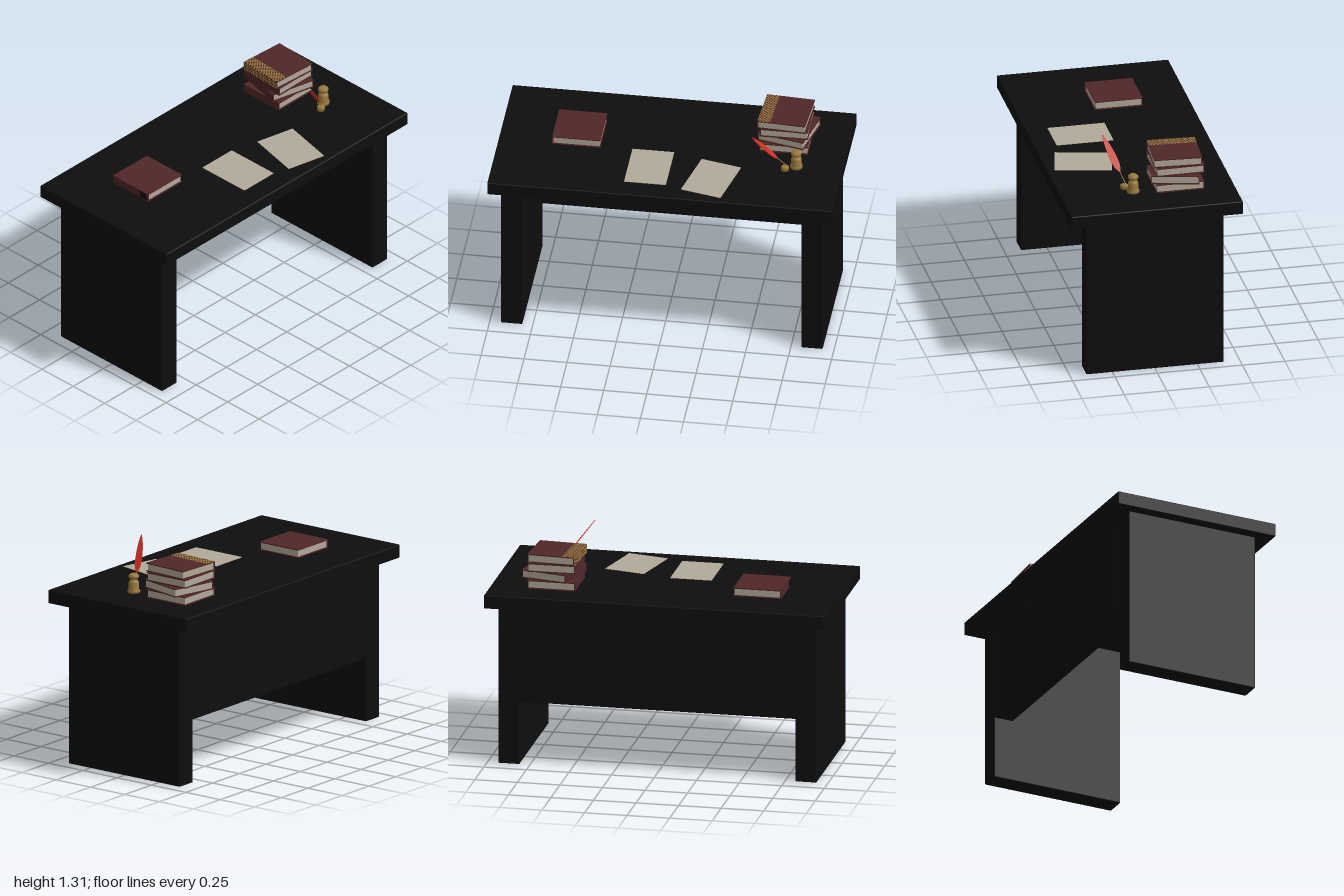
import * as THREE from 'three';
import { RoundedBoxGeometry } from 'three/addons/geometries/RoundedBoxGeometry.js';

const mat = (name, color, side = THREE.FrontSide) => {
  const m = new THREE.MeshStandardMaterial({ color, side });
  m.name = name;
  return m;
};

export function createModel() {
  const black = mat('black wood', 0x0e0e0e);
  const leather = mat('dark red leather', 0x502628);
  const paper = mat('aged paper', 0xb2a998);
  const gold = mat('old gold', 0x9a7a3e);
  const red = mat('red feather', 0xcc3022, THREE.DoubleSide);

  const root = new THREE.Group();
  root.name = 'writingDesk';
  const TOP = 1.035;

  const add = (parent, name, geometry, material, x = 0, y = 0, z = 0) => {
    const mesh = new THREE.Mesh(geometry, material);
    mesh.name = name;
    mesh.position.set(x, y, z);
    parent.add(mesh);
    return mesh;
  };
  const box = (parent, name, size, material, x, y, z) =>
    add(parent, name, new THREE.BoxGeometry(...size), material, x, y, z);
  const board = (name, size, x, y, z) =>
    add(root, name, new RoundedBoxGeometry(...size, 1, 0.006), black, x, y, z);

  // Desk: slab top, two panel legs, and a panel along the -x side
  board('deskTop', [1.01, 0.08, 2], 0, 0.995, 0);
  for (const s of [-1, 1]) board('panelLeg', [0.81, 0.958, 0.125], 0, 0.479, s * 0.8725);
  board('sidePanel', [0.12, 0.583, 1.63], -0.345, 0.6665, 0);

  // Books: two covers, a spine on +z and an inset page block
  const S = 0.28, H = 0.051, C = 0.006;
  const book = (name, x, y, z, turn) => {
    const g = new THREE.Group();
    g.name = name;
    for (const cy of [C / 2, H - C / 2]) box(g, 'cover', [S, C, S], leather, 0, cy, 0);
    box(g, 'spine', [S, H - 2 * C, C], leather, 0, H / 2, S / 2 - C / 2);
    box(g, 'pages', [S - 0.012, H - 2 * C, S - 0.012], paper, 0, H / 2, 0);
    g.position.set(x, y, z);
    g.rotation.y = turn;
    root.add(g);
    return g;
  };
  book('stackedBook', -0.185, TOP, -0.642, 0);
  book('stackedBook', -0.182, TOP + H, -0.655, -0.23);
  book('stackedBook', -0.185, TOP + 2 * H, -0.642, 0.01);
  const topBook = book('topBook', -0.18, TOP + 3 * H, -0.637, -0.06);

  // Checkered gilding wrapped over the spine and front strip of the top book
  const cols = 28, cell = S / cols;
  for (let i = 0; i < cols; i++) {
    const x = -S / 2 + (i + 0.5) * cell;
    for (let j = 0; j < 7; j++) {
      if ((i + j) % 2) continue;
      box(topBook, 'topGilding', [cell, 0.001, 0.0105], gold, x, H + 0.0005, S / 2 - (j + 0.5) * 0.0105);
      if (j < 5) box(topBook, 'spineGilding', [cell, H / 5, 0.001], gold, x, (j + 0.5) * H / 5, S / 2 + 0.0005);
    }
  }

  // Lone book with a dark spine label
  const lone = book('loneBook', -0.083, TOP, 0.548, 0);
  box(lone, 'spineLabel', [0.05, 0.038, 0.002], black, 0.102, 0.026, S / 2 + 0.001);

  // Loose sheets
  box(root, 'paperSheet', [0.335, 0.003, 0.243], paper, 0.21, TOP + 0.0015, 0.102);
  box(root, 'paperSheet', [0.33, 0.003, 0.243], paper, 0.275, TOP + 0.0015, -0.267).rotation.y = -0.225;

  // Inkwell and small pen holder
  const lathe = (pts) => new THREE.LatheGeometry(pts.map((p) => new THREE.Vector2(...p)), 20);
  add(root, 'inkwell', lathe([
    [0, 0], [0.037, 0], [0.037, 0.014], [0.03, 0.02], [0.03, 0.06], [0.024, 0.07],
    [0.019, 0.074], [0.019, 0.084], [0.03, 0.088], [0.03, 0.102], [0.02, 0.111], [0, 0.112],
  ]), gold, 0.085, TOP, -0.735);
  add(root, 'penHolder', lathe([
    [0, 0], [0.023, 0], [0.023, 0.022], [0.016, 0.027], [0, 0.027],
  ]), gold, 0.124, TOP, -0.675);

  // Quill: local y runs along the shaft, local x across the feather
  const base = new THREE.Vector3(0.112, 1.05, -0.69);
  const tip = new THREE.Vector3(0.212, 1.305, -0.495);
  const along = tip.clone().sub(base);
  const L = along.length();
  along.normalize();
  const across = new THREE.Vector3(1, 0, 0).addScaledVector(along, -along.x).normalize();
  const quill = new THREE.Group();
  quill.name = 'quill';
  quill.applyMatrix4(new THREE.Matrix4().makeBasis(across, along, across.clone().cross(along)));
  quill.position.copy(base);
  root.add(quill);
  add(quill, 'shaft', new THREE.CylinderGeometry(0.002, 0.003, L * 0.5, 8), gold, 0, L * 0.25, 0);
  const vane = new THREE.Shape();
  vane.moveTo(0, L * 0.28);
  vane.quadraticCurveTo(0.026, L * 0.36, 0.022, L * 0.58);
  vane.quadraticCurveTo(0.02, L * 0.85, 0.003, L);
  vane.quadraticCurveTo(-0.018, L * 0.82, -0.02, L * 0.58);
  vane.quadraticCurveTo(-0.024, L * 0.36, 0, L * 0.28);
  const feather = new THREE.ExtrudeGeometry(vane, { depth: 0.005, bevelEnabled: false, curveSegments: 8 });
  add(quill, 'feather', feather, red, 0, 0, -0.0025);

  return root;
}
